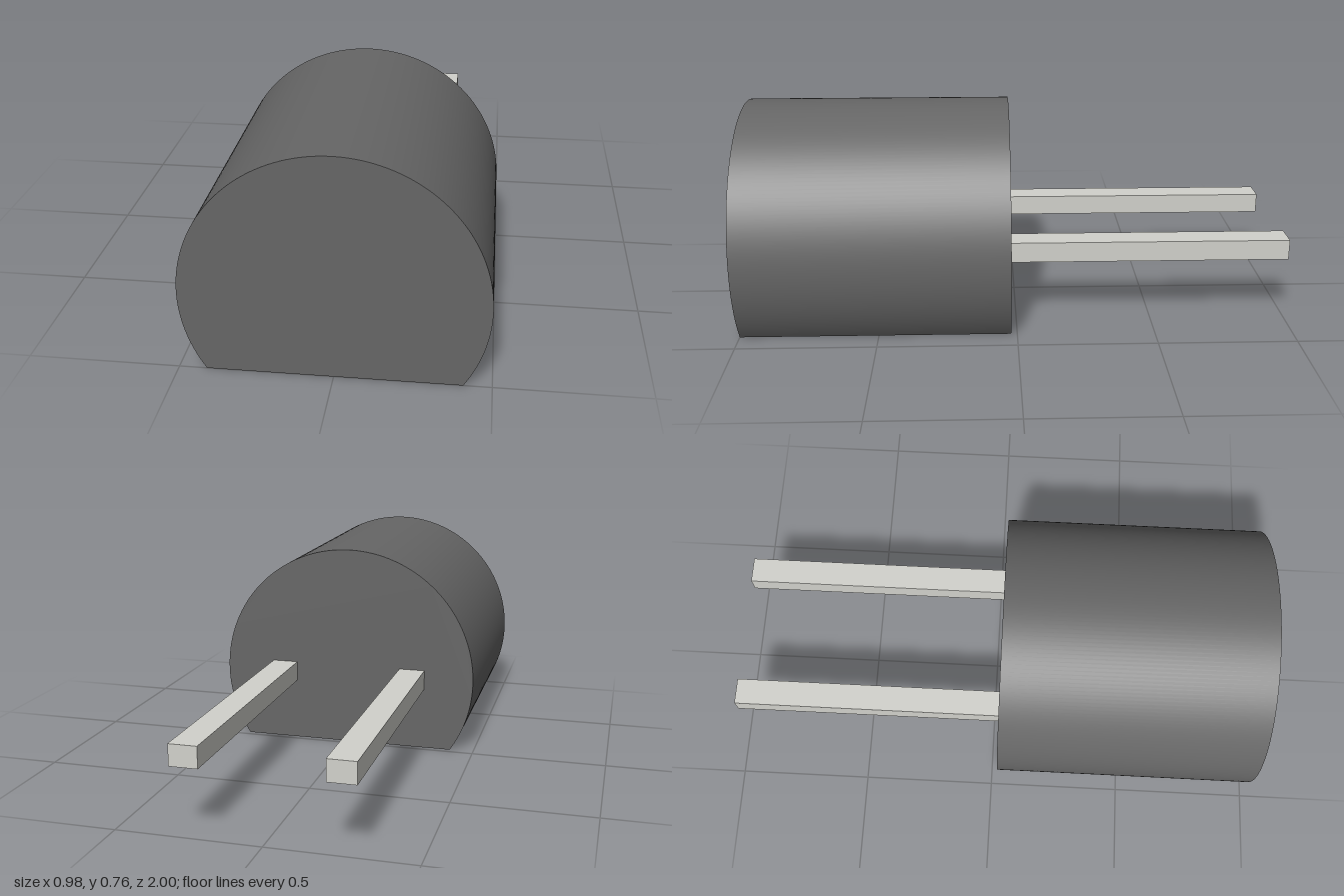
import * as THREE from 'three';
import { toCreasedNormals } from 'three/addons/utils/BufferGeometryUtils.js';

const RADIUS = 0.492, CENTRE_Y = 0.273;
const BODY_BACK = 0.022, BODY_FRONT = 1;

// Round body with a flat cut along its underside
function createBody(material) {
  const cut = Math.asin(CENTRE_Y / RADIUS);
  const profile = new THREE.Shape();
  profile.absarc(0, CENTRE_Y, RADIUS, -cut, Math.PI + cut, false);
  profile.closePath();
  const geometry = new THREE.ExtrudeGeometry(profile, {
    depth: BODY_FRONT - BODY_BACK, bevelEnabled: false, curveSegments: 72,
  });
  geometry.translate(0, 0, BODY_BACK);
  const body = new THREE.Mesh(toCreasedNormals(geometry, 0.5), material);
  body.name = 'body';
  return body;
}

// Straight rectangular pin running back from the body
function createPin(side, name, material) {
  const length = BODY_BACK + 1;
  const pin = new THREE.Mesh(new THREE.BoxGeometry(0.098, 0.075, length), material);
  pin.position.set(side * 0.255, CENTRE_Y, BODY_BACK - length / 2);
  pin.name = name;
  return pin;
}

export function createModel() {
  const dark = new THREE.MeshStandardMaterial({ color: 0x666666 });
  const metal = new THREE.MeshStandardMaterial({ color: 0xd2d2cc });
  const model = new THREE.Group();
  model.name = 'twoPinComponent';
  model.add(
    createBody(dark),
    createPin(1, 'leftPin', metal),
    createPin(-1, 'rightPin', metal),
  );
  return model;
}
